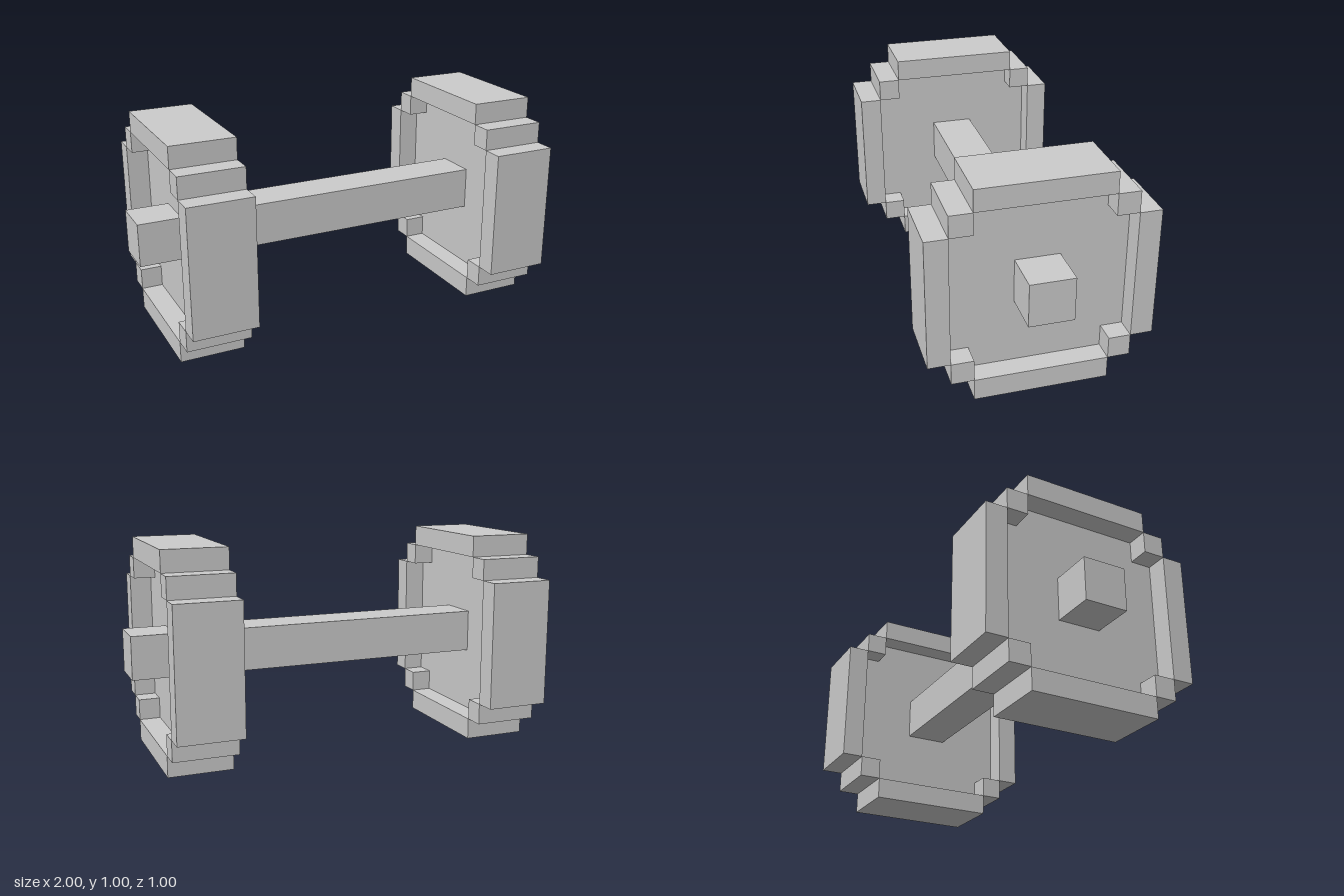
import * as THREE from 'three';

const material = new THREE.MeshStandardMaterial({ color: 0xcccccc, flatShading: true });

function addBox(parent, name, size, position) {
  const mesh = new THREE.Mesh(new THREE.BoxGeometry(...size), material);
  mesh.name = name;
  mesh.position.set(...position);
  parent.add(mesh);
}

// Recessed plate: a square with notched corners, extruded along x
function createDisc() {
  const quarter = [[0.4, 0.3], [0.3, 0.3], [0.3, 0.4]];
  const points = [];
  for (let i = 0; i < 4; i++) {
    for (const [x, y] of quarter) {
      points.push(new THREE.Vector2(x, y).rotateAround(new THREE.Vector2(), i * Math.PI / 2));
    }
  }
  const geometry = new THREE.ExtrudeGeometry(new THREE.Shape(points), { depth: 0.1, bevelEnabled: false });
  geometry.translate(0, 0, -0.05).rotateY(Math.PI / 2);
  const disc = new THREE.Mesh(geometry, material);
  disc.name = 'disc';
  return disc;
}

// Weight: thin disc framed by a stepped rim that stands proud on both faces
function createWeight(name) {
  const weight = new THREE.Group();
  weight.name = name;
  weight.add(createDisc());
  for (const s of [-1, 1]) {
    addBox(weight, s > 0 ? 'rimTop' : 'rimBottom', [0.3, 0.1, 0.6], [0, s * 0.45, 0]);
    addBox(weight, s > 0 ? 'rimFront' : 'rimBack', [0.3, 0.6, 0.1], [0, 0, s * 0.45]);
    for (const t of [-1, 1]) {
      addBox(weight, 'rimCorner', [0.3, 0.1, 0.1], [0, s * 0.35, t * 0.35]);
    }
  }
  return weight;
}

export function createModel() {
  const model = new THREE.Group();
  model.name = 'dumbbell';

  // Square bar running through both weights
  addBox(model, 'handle', [2, 0.2, 0.2], [0, 0.5, 0]);

  for (const side of [-1, 1]) {
    const weight = createWeight(side > 0 ? 'leftWeight' : 'rightWeight');
    weight.position.set(side * 0.75, 0.5, 0);
    model.add(weight);
  }
  return model;
}
